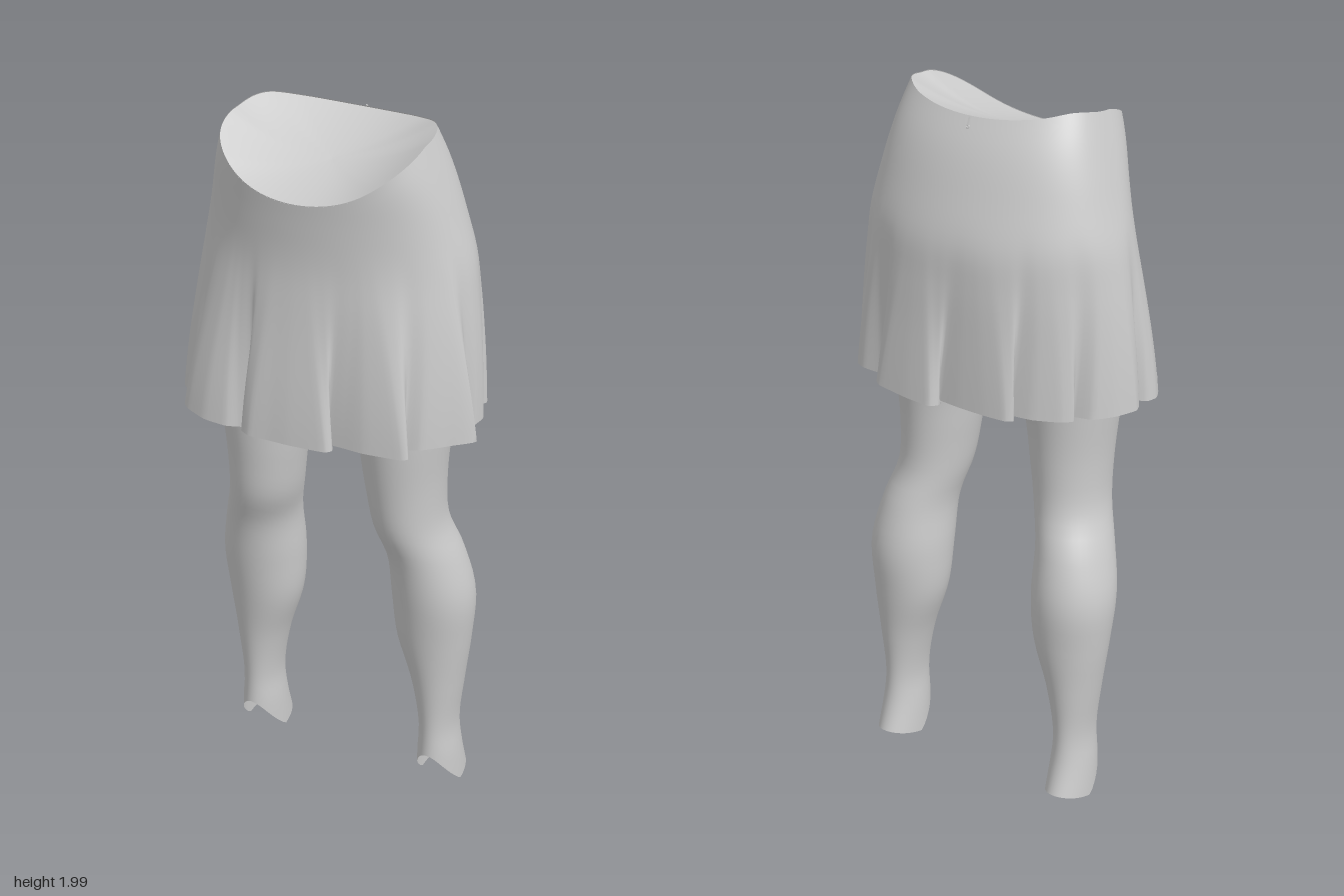
import * as THREE from 'three';

const material = new THREE.MeshStandardMaterial({ color: 0xcccccc, side: THREE.DoubleSide });
const { lerp, smoothstep } = THREE.MathUtils;

// Smooth lookup in rows of [key, ...values], keys ascending
function smoothTable(rows) {
  const size = rows[0].length - 1;
  const f = new THREE.CubicInterpolant(rows.map(r => r[0]), rows.flatMap(r => r.slice(1)), size, new Float32Array(size));
  return t => Array.from(f.evaluate(t));
}

// Skin closed rings of points, listed from top to bottom
function loft(name, rings, skip = () => false) {
  const n = rings[0].length, index = [];
  for (let r = 0; r < rings.length - 1; r++) {
    for (let i = 0; i < n; i++) {
      const j = (i + 1) % n;
      if (skip([rings[r][i], rings[r][j], rings[r + 1][i], rings[r + 1][j]])) continue;
      const a = r * n + i, b = r * n + j, c = a + n, d = b + n;
      index.push(a, c, b, b, c, d);
    }
  }
  const g = new THREE.BufferGeometry();
  g.setAttribute('position', new THREE.Float32BufferAttribute(rings.flat(2), 3));
  g.setIndex(index);
  g.computeVertexNormals();
  const mesh = new THREE.Mesh(g, material);
  mesh.name = name;
  return mesh;
}

// Skirt section by height: half width, front z, back z, centre z
const skirtSection = smoothTable([
  [1.2, 0.41, 0.268, -0.258, 0], [1.4, 0.4, 0.256, -0.26, 0], [1.55, 0.389, 0.25, -0.262, 0],
  [1.66, 0.376, 0.247, -0.258, 0], [1.79, 0.341, 0.252, -0.222, 0.02], [1.9, 0.308, 0.26, -0.182, 0.045],
  [2.0, 0.275, 0.26, -0.13, 0.06],
]);

// Waist height, from back (-1) to front (1)
const waistHeight = smoothTable([[-1, 1.973], [-0.8, 1.985], [-0.4, 2.0], [0.25, 1.965], [0.65, 1.915], [1, 1.84]]);

// Folded hem outline as x, z, going round from the front towards +x
const hemOutline = [
  [0, 0.295], [0.1, 0.285], [0.115, 0.265], [0.085, 0.245], [0.13, 0.246], [0.2, 0.25], [0.3, 0.238],
  [0.317, 0.225], [0.285, 0.195], [0.33, 0.18], [0.385, 0.13], [0.44, 0.078], [0.378, 0.042], [0.402, 0.01],
  [0.405, -0.03], [0.39, -0.055], [0.355, -0.08], [0.372, -0.12], [0.355, -0.15], [0.32, -0.15], [0.335, -0.19],
  [0.3, -0.207], [0.24, -0.212], [0.195, -0.23], [0.226, -0.25], [0.2, -0.272], [0.1, -0.294], [0.02, -0.302],
  [0, -0.28], [0.02, -0.258], [-0.05, -0.265], [-0.13, -0.268], [-0.195, -0.265], [-0.215, -0.25],
  [-0.18, -0.23], [-0.25, -0.22], [-0.32, -0.19], [-0.345, -0.165], [-0.325, -0.145], [-0.38, -0.13],
  [-0.42, -0.08], [-0.445, -0.02], [-0.43, 0.018], [-0.39, 0.03], [-0.43, 0.06], [-0.435, 0.1], [-0.41, 0.15],
  [-0.365, 0.185], [-0.32, 0.205], [-0.36, 0.23], [-0.335, 0.252], [-0.27, 0.28], [-0.2, 0.285],
  [-0.165, 0.27], [-0.12, 0.258], [-0.153, 0.28], [-0.12, 0.298], [-0.06, 0.296],
];

// Rounded section, squarer towards the waist and at the back
function sectionPoint(a, y) {
  const [w, front, back, mid] = skirtSection(y);
  const c = Math.cos(a), square = smoothstep(y, 1.6, 1.97);
  const depth = Math.abs(c) ** (1 - square * (c > 0 ? 0.2 : 0.36));
  return [w * Math.sin(a) - 0.008, mid + (c > 0 ? front - mid : back - mid) * depth];
}

function createSkirt() {
  const n = 232, rows = 30, window = 14;
  const curve = new THREE.CatmullRomCurve3(hemOutline.map(([x, z]) => new THREE.Vector3(x, 0, z)), true, 'catmullrom', 0.25);
  const hem = Array.from({ length: n }, (_, i) => curve.getPoint(i / n));
  // Unwrapped angles, averaged so that the folds vanish towards the waist
  let last = 0;
  const raw = hem.map(p => {
    const a = Math.atan2(p.x / 0.42, p.z / 0.28);
    return (last = a + Math.PI * 2 * Math.round((last - a) / (Math.PI * 2)));
  });
  const angles = raw.map((_, i) => {
    let sum = 0;
    for (let k = -window; k <= window; k++) {
      sum += raw[(i + k + n) % n] + Math.PI * 2 * Math.floor((i + k) / n);
    }
    return sum / (window * 2 + 1);
  });
  const rings = [];
  for (let r = 0; r <= rows; r++) {
    rings.push(angles.map((a, i) => {
      const hemY = 1.215 - 0.035 * Math.max(0, Math.cos(a));
      const y = lerp(waistHeight(Math.cos(a))[0], hemY, r / rows);
      const [x, z] = sectionPoint(a, y);
      const fold = (1 - smoothstep(y, 1.0, 1.74)) / (1 - smoothstep(hemY, 1.0, 1.74));
      return [lerp(x, hem[i].x, fold), y, lerp(z, hem[i].z, fold)];
    }));
  }
  const turnedHem = [rings[rows], rings[rows].map(([x, y, z]) => [x * 0.98, y + 0.004, z * 0.975])];

  // Saddle-shaped surface closing the waist, tilted to the front
  const tilt = z => 1.9 - 0.33 * (z - 0.06), steps = 8;
  const fill = [];
  for (let s = 0; s <= steps; s++) {
    const t = s / steps;
    fill.push(rings[0].map(([x, y, z]) => {
      const zt = lerp(0.06, z, t);
      return [x * t, tilt(zt) + (y - tilt(z)) * t * t - 0.002, zt];
    }));
  }
  const group = new THREE.Group();
  group.name = 'skirt';
  group.add(loft('skirtCloth', rings), loft('turnedHem', turnedHem), loft('waistFill', fill));

  // Zip pull at the back
  const zip = new THREE.Group();
  zip.name = 'zipPull';
  const ring = new THREE.Mesh(new THREE.TorusGeometry(0.004, 0.0015, 6, 12), material);
  const tab = new THREE.Mesh(new THREE.BoxGeometry(0.005, 0.022, 0.004), material);
  ring.name = 'zipRing';
  tab.name = 'zipTab';
  tab.position.y = 0.014;
  zip.add(ring, tab);
  zip.position.set(-0.014, 1.95, -0.162);
  zip.rotation.x = 0.4;
  group.add(zip);
  return group;
}

// Leg section by height: inner x, outer x, front z, back z
const legSection = smoothTable([
  [0.03, 0.23, 0.353, 0.014, -0.184], [0.12, 0.233, 0.348, 0.014, -0.156], [0.2, 0.238, 0.341, 0.012, -0.146],
  [0.35, 0.213, 0.357, 0.025, -0.155], [0.5, 0.166, 0.377, 0.047, -0.17], [0.64, 0.155, 0.386, 0.07, -0.176],
  [0.78, 0.153, 0.357, 0.095, -0.148], [0.88, 0.128, 0.326, 0.127, -0.118], [1.0, 0.11, 0.322, 0.146, -0.114],
  [1.19, 0.08, 0.337, 0.174, -0.134], [1.3, 0.03, 0.345, 0.19, -0.165], [1.4, -0.04, 0.352, 0.205, -0.2],
  [1.6, -0.22, 0.345, 0.222, -0.215], [1.75, -0.28, 0.31, 0.222, -0.185],
]);

// One leg and its half of the hips, cut off at the middle plane
function createLeg(side) {
  const n = 40, rows = 52, rings = [];
  for (let r = 0; r <= rows; r++) {
    const ring = [];
    for (let i = 0; i < n; i++) {
      const a = (i / n) * Math.PI * 2, c = Math.cos(a);
      // Ragged ankle opening, high in front and lowest at the sides
      const end = c > 0 ? lerp(0.012, 0.125, c ** 1.3) : lerp(0.012, 0.04, -c);
      const y = lerp(1.75, end, r / rows);
      const [inner, outer, front, back] = legSection(y);
      const x = side * (inner + outer) / 2 + (outer - inner) / 2 * Math.sin(a);
      ring.push([side * Math.max(0, side * x), y, (front + back) / 2 + (front - back) / 2 * c]);
    }
    rings.push(ring);
  }
  return loft(side > 0 ? 'leftLeg' : 'rightLeg', rings, corners => corners.every(p => Math.abs(p[0]) < 1e-6));
}

export function createModel() {
  const model = new THREE.Group();
  model.name = 'skirtAndLegs';
  const legs = new THREE.Group();
  legs.name = 'legs';
  legs.add(createLeg(1), createLeg(-1));
  legs.position.x = -0.012;
  model.add(createSkirt(), legs);
  return model;
}
